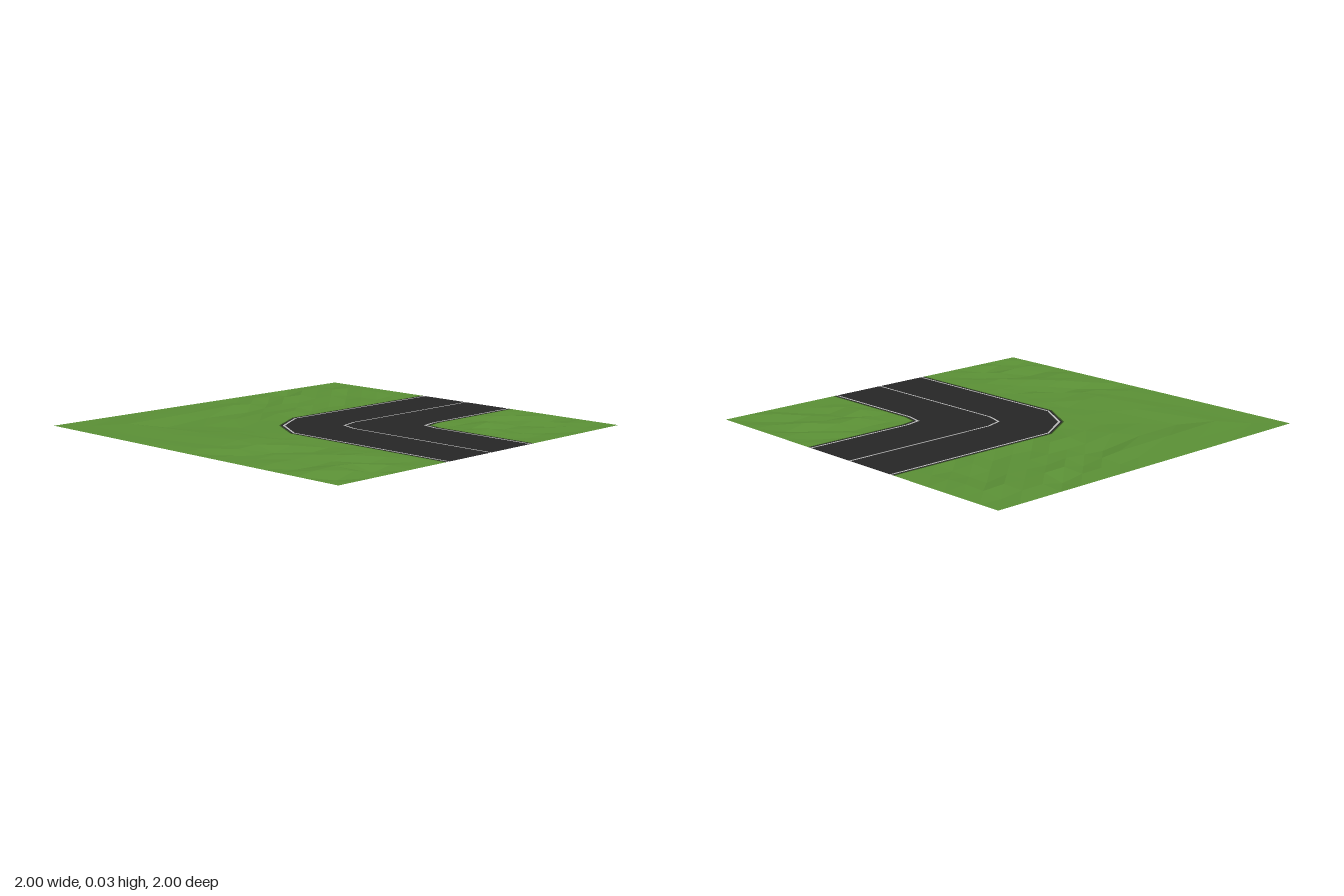
import * as THREE from 'three';

const BASE = 0.02; // level of the road and of the tile's rim

function seeded(seed) {
  let s = seed;
  return () => (s = (s * 16807) % 2147483647) / 2147483647;
}

const paint = (color) => new THREE.MeshStandardMaterial({
  color, flatShading: true, roughness: 1, side: THREE.DoubleSide,
});

// Flat-shaded sheet through rows of points (rows run from -x to +x)
function sheet(name, rows, material) {
  const pos = [];
  for (let i = 0; i < rows.length - 1; i++) {
    for (let j = 0; j < rows[i].length - 1; j++) {
      const a = rows[i][j], b = rows[i + 1][j], c = rows[i][j + 1], d = rows[i + 1][j + 1];
      for (const p of [a, b, c, b, d, c]) pos.push(p.x, p.y, p.z);
    }
  }
  const geo = new THREE.BufferGeometry();
  geo.setAttribute('position', new THREE.Float32BufferAttribute(pos, 3));
  geo.computeVertexNormals();
  const mesh = new THREE.Mesh(geo, material);
  mesh.name = name;
  return mesh;
}

// One line round the bend: straight arm at x = a, chamfered corner, mirrored arm at z = a
function rail([a, bend, mid], arm = 1, corner = 1) {
  const keys = [[a, 1], [a, bend], [mid, mid], [bend, a], [1, a]];
  const steps = [arm, corner, corner, arm];
  const pts = [new THREE.Vector3(a, BASE, 1)];
  steps.forEach((n, k) => {
    for (let i = 1; i <= n; i++) {
      const t = i / n, [p, q] = [keys[k], keys[k + 1]];
      pts.push(new THREE.Vector3(p[0] + (q[0] - p[0]) * t, BASE, p[1] + (q[1] - p[1]) * t));
    }
  });
  return pts;
}

// Random heights for every point away from the sheet's border
function roughen(rows, rand) {
  for (let i = 1; i < rows.length - 1; i++) {
    for (let j = 1; j < rows[i].length - 1; j++) rows[i][j].y = 0.004 + 0.031 * rand();
  }
  return rows;
}

export function createModel() {
  const group = new THREE.Group();
  group.name = 'roadCornerTile';
  const grass = paint(0x5a8f35), verge = paint(0x35521f);
  const asphalt = paint(0x262626), white = paint(0xb8b8b8);
  const rand = seeded(4127);

  // Road cross-section: [straight offset, start of bend, corner point]
  const lines = [
    [-0.318, 0, -0.203], [-0.31, 0, -0.197], [-0.3, 0, -0.19], [-0.289, 0, -0.181],
    [-0.005, 0.122, 0.025], [0.005, 0.126, 0.034],
    [0.289, 0.4, 0.31], [0.3, 0.405, 0.321], [0.31, 0.41, 0.329], [0.318, 0.415, 0.336],
  ];
  const strips = [
    ['outerVerge', verge], ['outerShoulder', asphalt], ['outerLine', white],
    ['outerLane', asphalt], ['centreLine', white], ['innerLane', asphalt],
    ['innerLine', white], ['innerShoulder', asphalt], ['innerVerge', verge],
  ];
  strips.forEach(([name, mat], i) => {
    group.add(sheet(name, [rail(lines[i]), rail(lines[i + 1])], mat));
  });

  // Bumpy grass outside the bend, from the tile's rim to the verge
  const N = 6, rows = [];
  for (let i = 0; i <= N; i++) {
    const t = i / N;
    rows.push(rail([-1 + 0.682 * t, 0, -1 + 0.797 * t], 8, 2));
  }
  group.add(sheet('outerGrass', roughen(rows, rand), grass));

  // Bumpy grass inside the bend, on a square grid with one chamfered corner
  const at = (i) => (i === 0 ? 0.318 : 0.415 + 0.585 * (i - 1) / 5);
  const inner = [];
  for (let i = 0; i <= N; i++) {
    inner.push([]);
    for (let j = N; j >= 0; j--) {
      const chamfer = i + j === 0;
      inner[i].push(new THREE.Vector3(chamfer ? 0.336 : at(i), BASE, chamfer ? 0.336 : at(j)));
    }
  }
  group.add(sheet('innerGrass', roughen(inner, rand), grass));

  return group;
}
